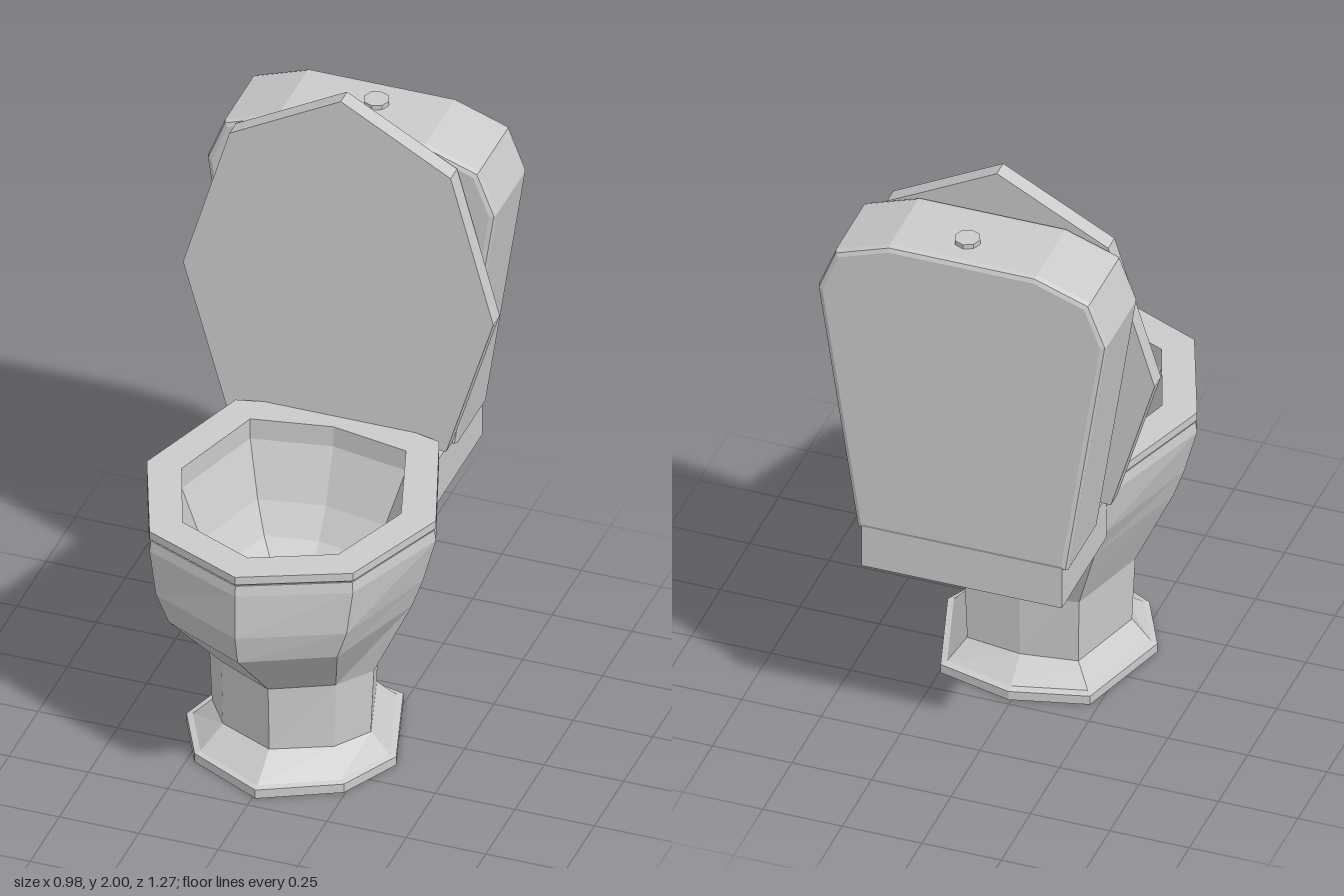
import * as THREE from 'three';

const CX = 0.01, CZ = 0.15; // centre of the bowl

const material = () => new THREE.MeshStandardMaterial({ color: 0xcccccc, flatShading: true });

function mesh(name, geometry) {
  const m = new THREE.Mesh(geometry, material());
  m.name = name;
  return m;
}

// Egg-like octagon: half width, diagonal half width, then reach to front,
// front diagonal, back diagonal and back.
const octagon = (rx, a, front, df, db, back) =>
  [[0, front], [a, df], [rx, 0], [a, -db], [0, -back], [-a, -db], [-rx, 0], [-a, df]];

// Place an octagon at height y, optionally scaled.
const ring = (y, oct, s = 1) => oct.map(([x, z]) => new THREE.Vector3(CX + x * s, y, CZ + z * s));

// Skin a stack of rings; a ring scaled to 0 closes an end.
function loft(rings) {
  const pos = [];
  for (let i = 0; i < rings.length - 1; i++) {
    const lo = rings[i], hi = rings[i + 1], n = lo.length;
    for (let k = 0; k < n; k++) {
      const j = (k + 1) % n;
      for (const v of [lo[k], lo[j], hi[j], lo[k], hi[j], hi[k]]) pos.push(v.x, v.y, v.z);
    }
  }
  const g = new THREE.BufferGeometry();
  g.setAttribute('position', new THREE.Float32BufferAttribute(pos, 3));
  g.computeVertexNormals();
  return g;
}

// Shape mirrored about x = 0 from right-hand points listed bottom to top.
function mirroredShape(half) {
  const other = half.filter(([x]) => x > 0).reverse().map(([x, y]) => [-x, y]);
  return new THREE.Shape([...half, ...other].map(([x, y]) => new THREE.Vector2(x, y)));
}

export function createModel() {
  const model = new THREE.Group();
  model.name = 'toilet';

  const foot = octagon(0.33, 0.235, 0.31, 0.19, 0.32, 0.38);
  const ankle = octagon(0.25, 0.175, 0.19, 0.11, 0.255, 0.28);
  const neck = octagon(0.26, 0.18, 0.20, 0.11, 0.265, 0.285);
  const belly = octagon(0.38, 0.265, 0.46, 0.33, 0.36, 0.44);
  const shoulder = octagon(0.415, 0.30, 0.485, 0.345, 0.39, 0.47);
  const rim = octagon(0.455, 0.32, 0.485, 0.345, 0.395, 0.47);
  const opening = octagon(0.345, 0.245, 0.375, 0.265, 0.315, 0.36);

  // Pedestal and bowl: up the outside, over the rim and down the inside
  model.add(mesh('bowl', loft([
    ring(0, foot, 0), ring(0, foot), ring(0.03, foot), ring(0.035, foot, 0.94),
    ring(0.1, ankle), ring(0.32, neck), ring(0.58, belly), ring(0.68, shoulder),
    ring(0.83, rim), ring(0.865, rim, 0.99),
    ring(0.865, opening), ring(0.83, opening), ring(0.66, opening, 0.82),
    ring(0.57, opening, 0.66), ring(0.52, opening, 0.5), ring(0.48, opening, 0.43),
    ring(0.43, opening, 0.39), ring(0.43, opening, 0),
  ])));

  // Seat
  model.add(mesh('seat', loft([
    ring(0.865, opening), ring(0.865, rim, 0.98), ring(0.873, rim), ring(0.9, rim),
    ring(0.9, opening), ring(0.865, opening),
  ])));

  // Shelf behind the bowl that carries the tank
  const shelf = mesh('tankShelf', new THREE.BoxGeometry(0.63, 0.15, 0.385));
  shelf.position.set(CX, 0.755, -0.4375);
  model.add(shelf);

  // Tank with chamfered edges
  const tankShape = mirroredShape([[0.33, 0.815], [0.455, 1.66], [0.4, 1.8], [0.23, 1.86]]);
  const tank = mesh('tank', new THREE.ExtrudeGeometry(tankShape, {
    depth: 0.24, bevelEnabled: true, bevelThickness: 0.02, bevelSize: 0.018,
    bevelOffset: -0.018, bevelSegments: 2,
  }));
  tank.position.set(CX, 0, -0.615);
  model.add(tank);

  // Flush button
  const button = mesh('flushButton', new THREE.CylinderGeometry(0.04, 0.04, 0.025, 8));
  button.position.set(0.03, 1.8625, -0.525);
  model.add(button);

  // Raised lid, leaning back slightly
  const lidShape = mirroredShape([[0.345, 0.855], [0.488, 1.33], [0.348, 1.81], [0, 2]]);
  const lidGeometry = new THREE.ExtrudeGeometry(lidShape, { depth: 0.055, bevelEnabled: false });
  const p = lidGeometry.attributes.position;
  for (let i = 0; i < p.count; i++) p.setZ(i, p.getZ(i) - 0.318 - (p.getY(i) - 0.86) * 0.033);
  lidGeometry.computeVertexNormals();
  model.add(mesh('lid', lidGeometry));

  return model;
}
